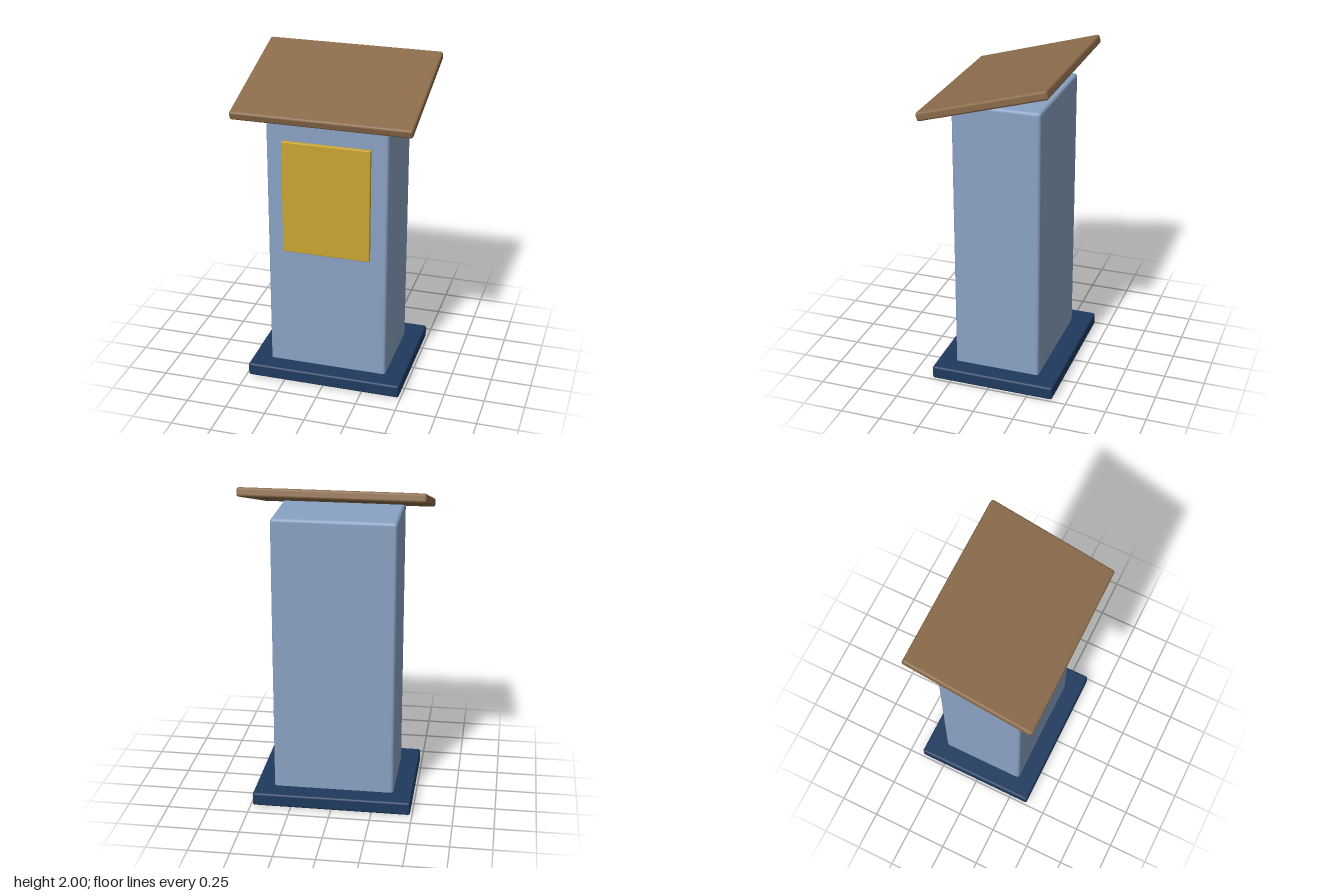
import * as THREE from 'three';
import { RoundedBoxGeometry } from 'three/addons/geometries/RoundedBoxGeometry.js';

const material = (name, color) => {
  const m = new THREE.MeshStandardMaterial({ color });
  m.name = name;
  return m;
};

export function createModel() {
  const group = new THREE.Group();
  group.name = 'lectern';

  const navy = material('navy', 0x1f3a5f);
  const blue = material('slate blue', 0x8aa2c4);
  const wood = material('wood brown', 0x8b6b4a);
  const gold = material('gold', 0xc9a530);

  // Softly rounded block, given by size, centre and edge radius
  const block = (name, mat, [w, h, d], [x, y, z], radius) => {
    const mesh = new THREE.Mesh(new RoundedBoxGeometry(w, h, d, 4, radius), mat);
    mesh.name = name;
    mesh.position.set(x, y, z);
    group.add(mesh);
    return mesh;
  };

  // Floor plinth and upright body
  block('base', navy, [0.976, 0.083, 0.78], [0, 0.0415, -0.02], 0.014);
  block('column', blue, [0.744, 1.74, 0.54], [0, 0.93, -0.015], 0.02);

  // Plain plaque on the front of the body
  block('frontPanel', gold, [0.54, 0.714, 0.027], [0, 1.224, 0.2685], 0.005);

  // Reading surface, low at the front and raised at the back
  const desk = block('slopedTop', wood, [1.084, 0.054, 0.808], [0, 1.866, 0.0125], 0.014);
  desk.rotation.x = THREE.MathUtils.degToRad(16);

  return group;
}
